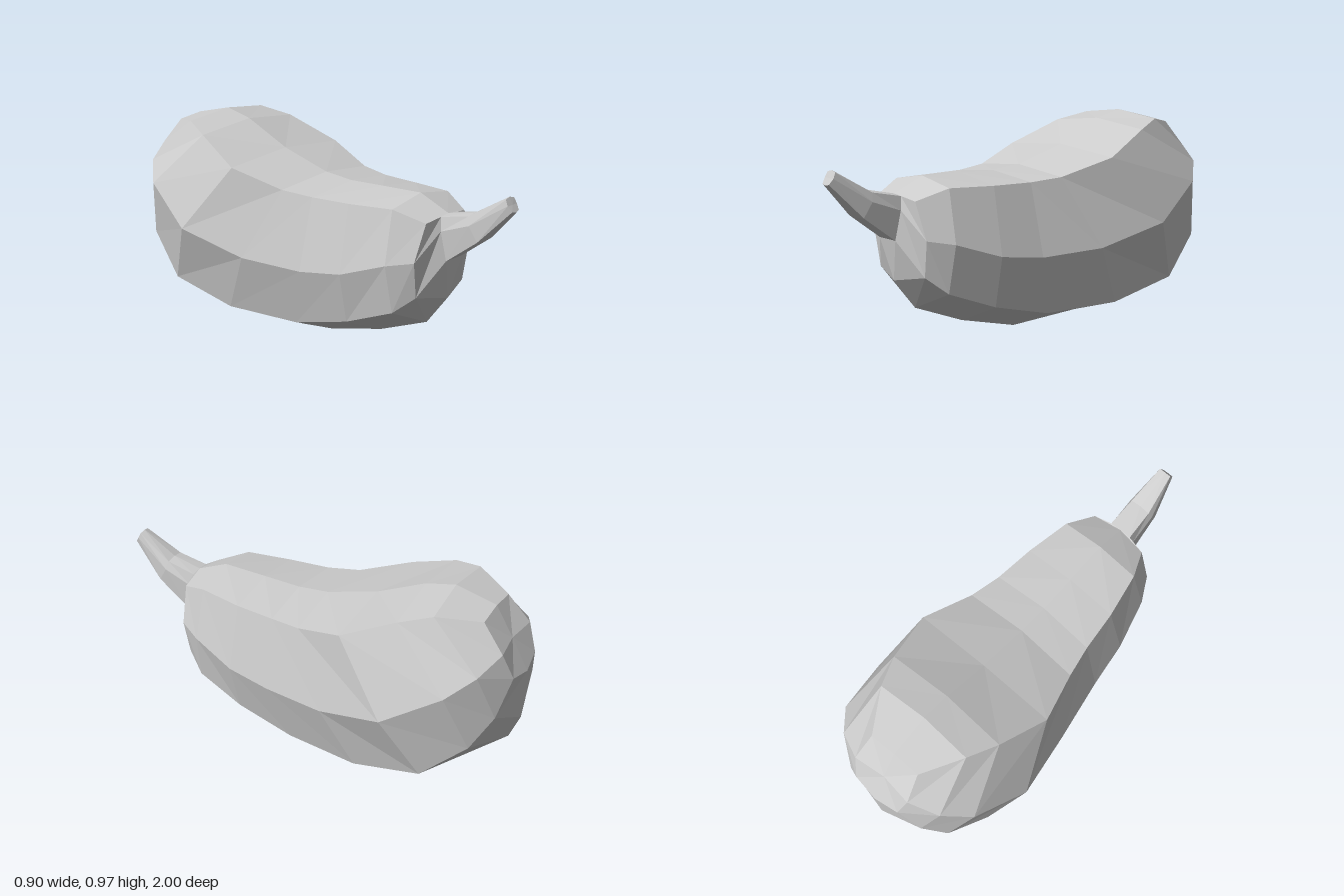
import * as THREE from 'three';

// Full 8-point ring from five half-profile points [x, y, z]:
// top centre, upper corner, side, lower corner, bottom centre
function ring(half) {
  const mirrored = half.slice(1, 4).reverse().map(([x, y, z]) => [-x, y, z]);
  return [...half, ...mirrored];
}

// Skin consecutive rings from front to back, optionally closing the ends
function loft(halves, capFront, capBack) {
  const rings = halves.map(ring);
  const n = 8;
  const positions = [];
  const tri = (a, b, c) => positions.push(...a, ...b, ...c);
  for (let i = 0; i < rings.length - 1; i++) {
    const a = rings[i], b = rings[i + 1];
    for (let j = 0; j < n; j++) {
      const k = (j + 1) % n;
      // mirror the diagonal so both halves match
      if (j < n / 2) {
        tri(a[j], a[k], b[k]);
        tri(a[j], b[k], b[j]);
      } else {
        tri(a[j], a[k], b[j]);
        tri(a[k], b[k], b[j]);
      }
    }
  }
  const close = (r, front) => {
    const c = [0, 1, 2].map((d) => r.reduce((s, p) => s + p[d], 0) / n);
    for (let j = 0; j < n; j++) {
      const k = (j + 1) % n;
      if (front) tri(c, r[k], r[j]);
      else tri(c, r[j], r[k]);
    }
  };
  if (capFront) close(rings[0], true);
  if (capBack) close(rings[rings.length - 1], false);
  const geometry = new THREE.BufferGeometry();
  geometry.setAttribute('position', new THREE.Float32BufferAttribute(positions, 3));
  geometry.computeVertexNormals();
  return geometry;
}

export function createModel() {
  const group = new THREE.Group();
  group.name = 'gourd';
  const skin = new THREE.MeshStandardMaterial({ color: 0xcccccc });
  skin.name = 'light grey';
  skin.flatShading = true;

  const stemBase = [[0, 0.685, 0.66], [0.055, 0.68, 0.66], [0.068, 0.62, 0.67], [0.06, 0.49, 0.695], [0, 0.49, 0.695]];

  // Stem: small tip, bend and base
  const stemRings = [
    [[0, 0.812, 0.965], [0.03, 0.805, 0.968], [0.034, 0.78, 0.98], [0.025, 0.755, 0.997], [0, 0.75, 1]],
    [[0, 0.715, 0.8], [0.05, 0.708, 0.8], [0.065, 0.67, 0.81], [0.058, 0.603, 0.85], [0, 0.6, 0.852]],
    stemBase,
  ];

  // Body front: shoulder around the stem
  const shoulder = [
    stemBase,
    [[0, 0.687, 0.655], [0.14, 0.665, 0.645], [0.2, 0.5, 0.63], [0.17, 0.335, 0.62], [0, 0.303, 0.665]],
    [[0, 0.75, 0.51], [0.2, 0.716, 0.51], [0.26, 0.48, 0.52], [0.22, 0.26, 0.53], [0, 0.165, 0.555]],
  ];
  // Body middle: curved belly
  const belly = [
    [[0, 0.745, 0.3], [0.24, 0.712, 0.3], [0.31, 0.41, 0.31], [0.25, 0.175, 0.3], [0, 0.07, 0.3]],
    [[0, 0.74, 0.12], [0.26, 0.712, 0.11], [0.335, 0.385, 0.1], [0.268, 0.11, 0.02], [0, 0, 0]],
    [[0, 0.755, -0.03], [0.29, 0.725, -0.04], [0.39, 0.4, -0.2], [0.325, 0.12, -0.34], [0, 0.02, -0.38]],
    [[0, 0.83, -0.28], [0.36, 0.8, -0.28], [0.45, 0.49, -0.52], [0.345, 0.2, -0.67], [0, 0.1, -0.71]],
  ];
  // Body back: rounded, upturned end
  const end = [
    [[0, 0.937, -0.51], [0.3, 0.905, -0.52], [0.38, 0.65, -0.78], [0.29, 0.375, -0.87], [0, 0.28, -0.94]],
    [[0, 0.97, -0.65], [0.24, 0.942, -0.66], [0.28, 0.73, -0.885], [0.21, 0.51, -0.95], [0, 0.4, -0.99]],
    [[0, 0.925, -0.84], [0.13, 0.91, -0.84], [0.15, 0.79, -0.94], [0.12, 0.67, -0.985], [0, 0.645, -1]],
  ];

  const stem = new THREE.Mesh(loft(stemRings, true, false), skin);
  stem.name = 'stem';
  const body = new THREE.Mesh(loft([...shoulder, ...belly, ...end], false, true), skin);
  body.name = 'body';
  group.add(body, stem);
  return group;
}
